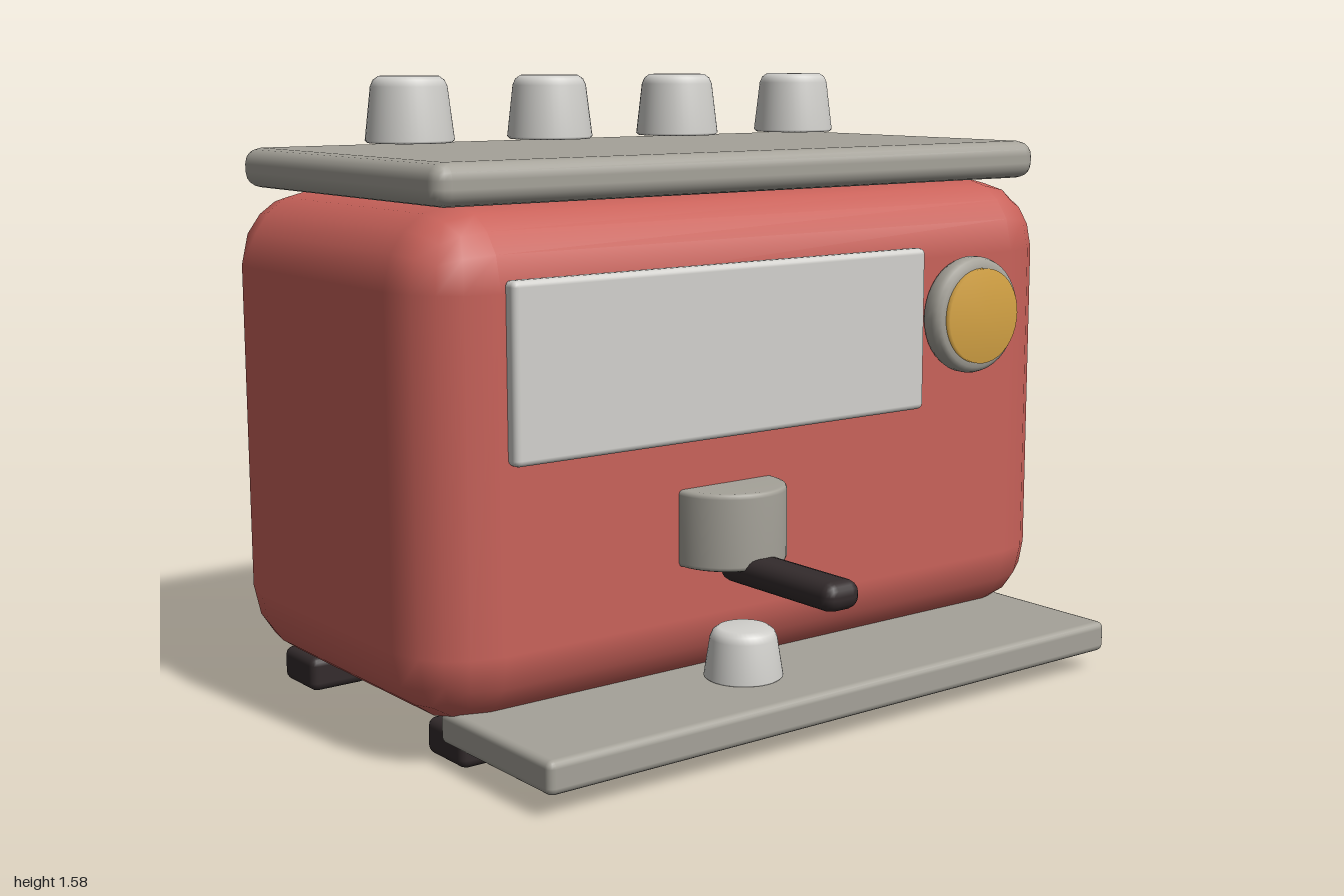
import * as THREE from 'three';
import { RoundedBoxGeometry } from 'three/addons/geometries/RoundedBoxGeometry.js';

const paint = (name, color) => {
  const m = new THREE.MeshStandardMaterial({ color });
  m.name = name;
  return m;
};

export function createModel() {
  const red = paint('red enamel', 0xc9625a);
  const steel = paint('warm steel', 0xa5a299);
  const pale = paint('pale metal', 0xd2d1cd);
  const gold = paint('gold dial', 0xd6a445);
  const black = paint('black rubber', 0x332b2c);

  const model = new THREE.Group();
  model.name = 'espressoMachine';

  const add = (name, geometry, material, x = 0, y = 0, z = 0) => {
    const mesh = new THREE.Mesh(geometry, material);
    mesh.name = name;
    mesh.position.set(x, y, z);
    model.add(mesh);
    return mesh;
  };

  // Rounded box given by its minimum and maximum on each axis
  const block = (name, material, [x0, x1], [y0, y1], [z0, z1], radius) =>
    add(name, new RoundedBoxGeometry(x1 - x0, y1 - y0, z1 - z0, 2, radius), material,
      (x0 + x1) / 2, (y0 + y1) / 2, (z0 + z1) / 2);

  const lathe = (points, segments = 40) =>
    new THREE.LatheGeometry(points.map(([r, y]) => new THREE.Vector2(r, y)), segments);

  // Housing, cup shelf, drip tray and front panel
  block('body', red, [-1, 1], [0.09, 1.3], [-0.745, 0.305], 0.19);
  block('cupShelf', steel, [-0.945, 0.945], [1.3, 1.4], [-0.705, 0.265], 0.04);
  block('dripTray', steel, [-0.895, 0.895], [0.05, 0.13], [0.14, 0.6], 0.018);
  block('frontPanel', pale, [-0.8, 0.46], [0.72, 1.14], [0.295, 0.34], 0.015);

  // Four feet
  for (const x of [-0.8, 0.8]) {
    for (const z of [0.138, -0.598]) {
      block('foot', black, [x - 0.083, x + 0.083], [0, 0.09], [z - 0.083, z + 0.083], 0.022);
    }
  }

  // Upturned cups: tapered with a rounded crown
  const cup = (bottom, top, h) => lathe([
    [0, 0], [bottom - 0.006, 0], [bottom, 0.006],
    [top + 0.003, h - 0.026], [top - 0.004, h - 0.01], [top - 0.018, h], [0, h],
  ]);
  for (let i = 0; i < 4; i++) {
    add('shelfCup', cup(0.112, 0.093, 0.165), pale, -0.632 + i * 0.42, 1.415, -0.39);
  }
  add('trayCup', cup(0.098, 0.08, 0.127), pale, -0.172, 0.128, 0.372);

  // Group head and its handle
  add('groupHead', lathe([
    [0, 0], [0.135, 0], [0.143, 0.003], [0.147, 0.012],
    [0.147, 0.178], [0.143, 0.187], [0.135, 0.19], [0, 0.19],
  ]), steel, -0.172, 0.412, 0.307);
  block('handle', black, [-0.225, -0.119], [0.37, 0.441], [0.33, 0.745], 0.032);

  // Pressure gauge: rounded bezel with a raised dial
  add('gaugeBezel', lathe([
    [0, 0], [0.135, 0], [0.148, 0.008], [0.154, 0.022], [0.154, 0.042],
    [0.149, 0.056], [0.138, 0.064], [0.12, 0.066], [0, 0.066],
  ]), steel, 0.63, 0.955, 0.303).rotation.x = Math.PI / 2;
  add('gaugeDial', lathe([[0.125, 0], [0.125, 0.022], [0, 0.022]]), gold, 0.63, 0.955, 0.362)
    .rotation.x = Math.PI / 2;

  return model;
}
